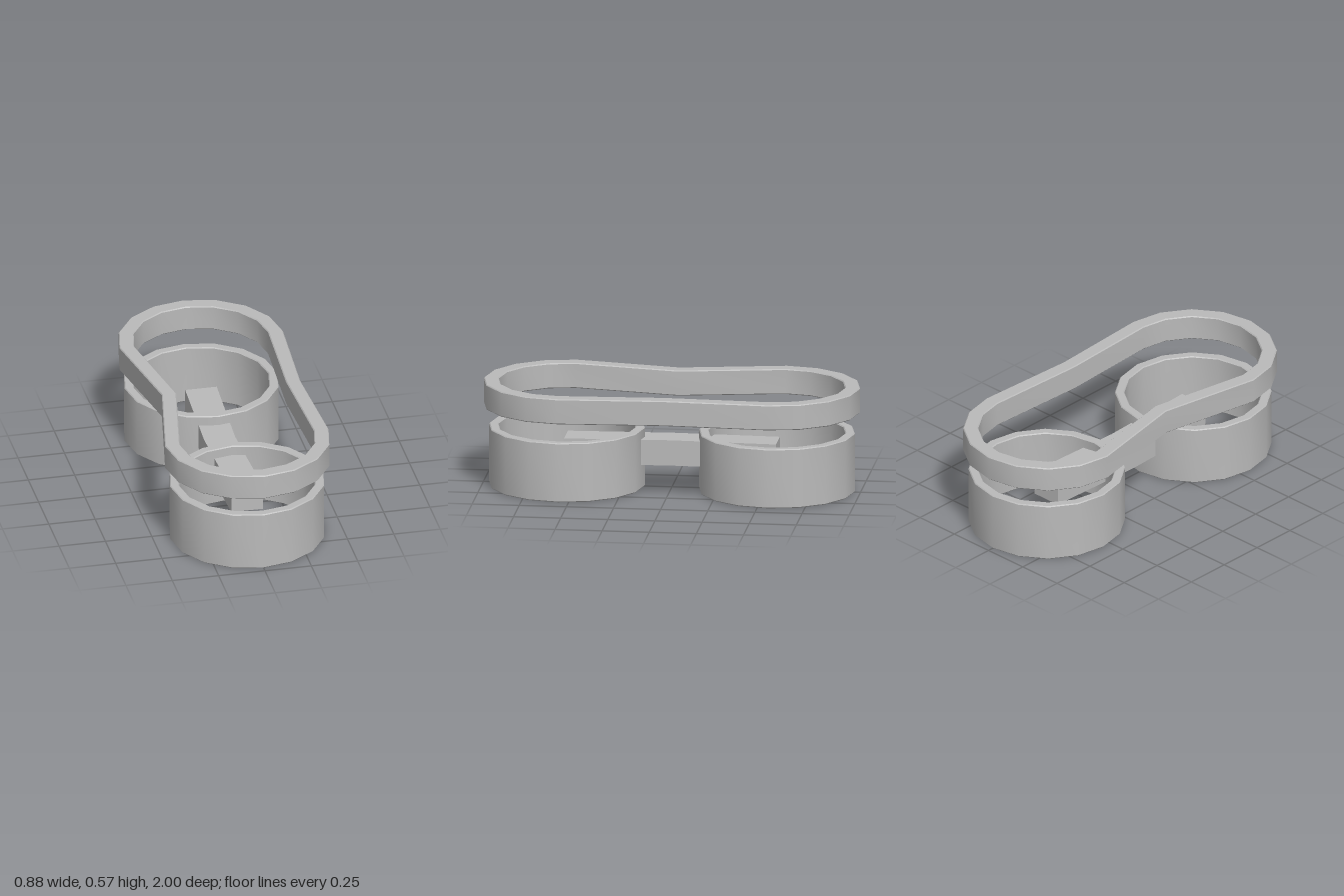
import * as THREE from 'three';
import { toCreasedNormals } from 'three/addons/utils/BufferGeometryUtils.js';

const CENTRE = 0.557; // distance of each ring from the middle
const SIDES = 16;

// Points on a circular arc, in steps of one ring side
function arc(radius, cy, from, count) {
  return Array.from({ length: count }, (_, i) => {
    const a = ((from + i) * 2 * Math.PI) / SIDES;
    return new THREE.Vector2(radius * Math.cos(a), cy + radius * Math.sin(a));
  });
}

// Closed band outline: two round ends joined through a waist point on each side
function bandOutline(radius, leftX, rightX) {
  return [
    ...arc(radius, CENTRE, 0, SIDES / 2 + 1),
    new THREE.Vector2(leftX, 0),
    ...arc(radius, -CENTRE, SIDES / 2, SIDES / 2 + 1),
    new THREE.Vector2(rightX, 0),
  ];
}

// Upright extrusion from y0 to y1 with finely bevelled edges
function slab(name, material, outer, inner, y0, y1, bevel) {
  const shape = new THREE.Shape(outer);
  if (inner) shape.holes.push(new THREE.Path(inner));
  const geometry = new THREE.ExtrudeGeometry(shape, {
    depth: y1 - y0 - 2 * bevel,
    bevelEnabled: bevel > 0,
    bevelThickness: bevel,
    bevelSize: bevel,
    bevelOffset: -bevel,
    bevelSegments: 1,
  });
  geometry.rotateX(-Math.PI / 2);
  geometry.translate(0, y0 + bevel, 0);
  const mesh = new THREE.Mesh(toCreasedNormals(geometry, 0.5), material);
  mesh.name = name;
  return mesh;
}

export function createModel() {
  const model = new THREE.Group();
  model.name = 'linkedRings';
  const grey = new THREE.MeshStandardMaterial({ color: 0xbababa });
  grey.name = 'grey';

  // Front and back rings
  for (const [name, side] of [['frontRing', 1], ['backRing', -1]]) {
    const ring = slab(name, grey, arc(0.413, 0, 0, SIDES), arc(0.363, 0, 0, SIDES), 0, 0.32, 0.005);
    ring.position.z = side * CENTRE;
    model.add(ring);
  }

  // Connecting bar, bent slightly towards the right at its middle
  const barOutline = [
    [0.085, -0.562], [0.06, 0], [0.085, 0.562],
    [-0.085, 0.562], [-0.107, 0], [-0.085, -0.562],
  ].map(([x, y]) => new THREE.Vector2(x, y));
  model.add(slab('connectingBar', grey, barOutline, null, 0.13, 0.267, 0));

  // Waisted band floating above the rings
  model.add(slab('upperBand', grey,
    bandOutline(0.441, -0.335, 0.411),
    bandOutline(0.361, -0.257, 0.335), 0.43, 0.566, 0.005));

  return model;
}
